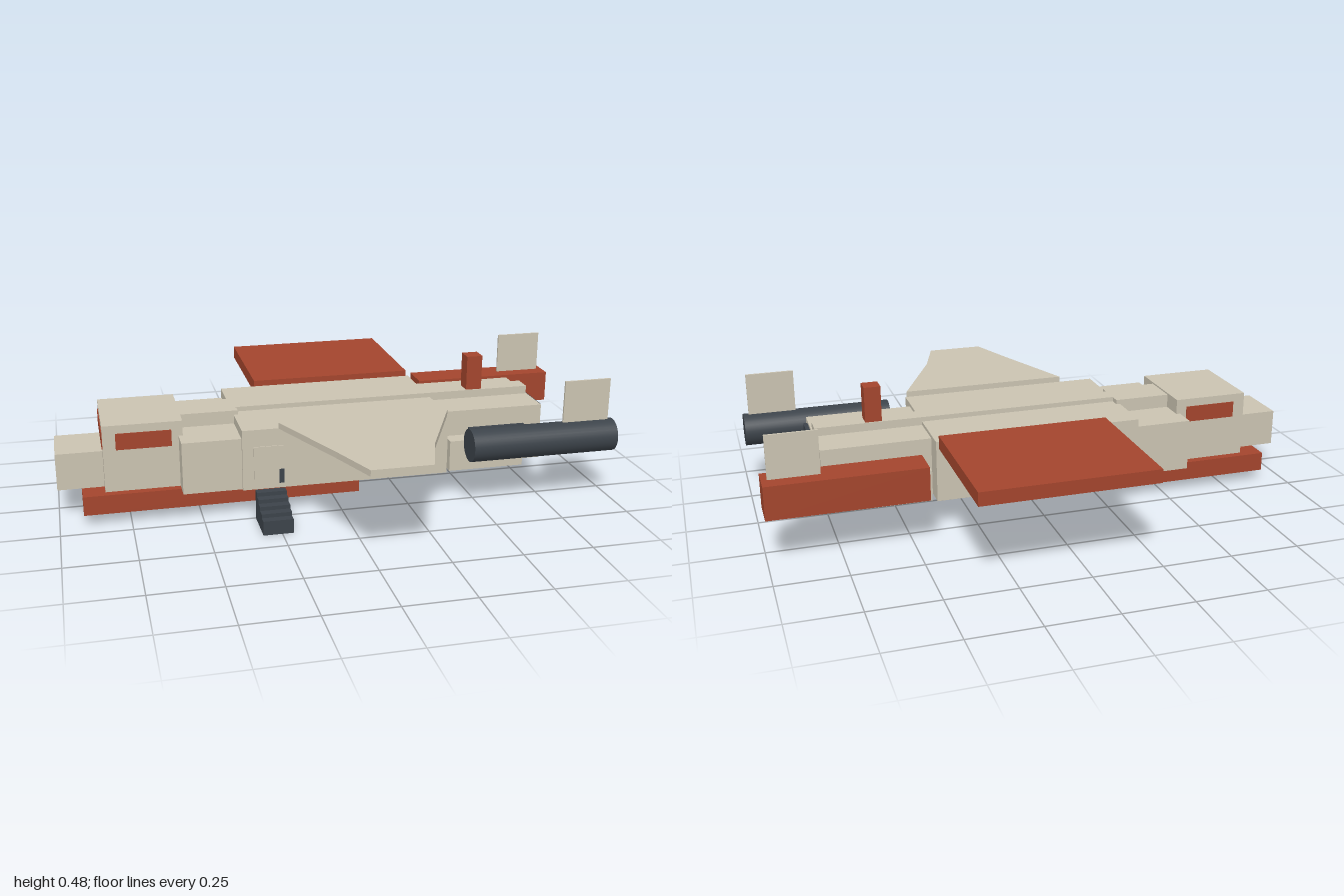
import * as THREE from 'three';

export function createModel() {
  const model = new THREE.Group();
  model.name = 'spacecraft';
  const material = (name, color) => {
    const m = new THREE.MeshStandardMaterial({ color });
    m.name = name;
    return m;
  };
  const hull = material('hull beige', 0xcac3b1);
  const red = material('rust red', 0xa3452d);
  const dark = material('dark slate', 0x3c434a);

  const add = (name, geometry, mat) => {
    const mesh = new THREE.Mesh(geometry, mat);
    mesh.name = name;
    model.add(mesh);
    return mesh;
  };
  // Box given by its limits on each axis
  const box = (name, mat, [x0, x1], [y0, y1], [z0, z1]) => {
    const g = new THREE.BoxGeometry(x1 - x0, y1 - y0, z1 - z0);
    g.translate((x0 + x1) / 2, (y0 + y1) / 2, (z0 + z1) / 2);
    return add(name, g, mat);
  };
  const sides = [['left', 1], ['right', -1]];
  const span = (s, a, b) => (s > 0 ? [a, b] : [-b, -a]);

  // Fuselage, nose to tail
  box('nose', hull, [-1, -0.83], [0.11, 0.245], [-0.1, 0.1]);
  box('cockpit', hull, [-0.835, -0.555], [0.11, 0.355], [-0.155, 0.155]);
  box('foreBody', hull, [-0.57, -0.355], [0.11, 0.3], [-0.238, 0.238]);
  box('neck', hull, [-0.556, -0.345], [0.295, 0.349], [-0.07, 0.07]);
  box('mainBody', hull, [-0.36, 0.395], [0.11, 0.333], [-0.25, 0.25]);
  box('rearBody', hull, [0.39, 0.785], [0.11, 0.32], [-0.177, 0.177]);
  box('spine', hull, [-0.35, 0.782], [0.31, 0.35], [-0.035, 0.035]);
  box('keel', red, [-0.915, 0.08], [0.04, 0.11], [-0.185, 0.185]);
  box('tailPost', red, [0.54, 0.6], [0.345, 0.48], [-0.03, 0.03]);
  box('exhaustPanel', dark, [0.784, 0.8], [0.125, 0.31], [-0.14, 0.14]);

  // Cockpit windows
  box('frontWindow', red, [-0.838, -0.832], [0.265, 0.325], [-0.14, 0.14]);
  for (const [side, s] of sides) {
    box(side + 'Window', red, [-0.79, -0.595], [0.265, 0.325], span(s, 0.152, 0.158));
  }

  // Engine supports and fins
  for (const [side, s] of sides) {
    box(side + 'EngineLug', hull, [0.41, 0.695], [0.11, 0.225], span(s, 0.17, 0.238));
    box(side + 'EngineMount', dark, [0.48, 0.695], [0.21, 0.272], span(s, 0.228, 0.28));
    box(side + 'Fin', hull, [0.805, 0.98], [0.28, 0.455], span(s, 0.326, 0.334));
  }

  // Round left engine and square right engine
  const tube = new THREE.CylinderGeometry(0.06, 0.06, 0.55, 32);
  tube.rotateZ(Math.PI / 2);
  add('leftEngine', tube, dark).position.set(0.725, 0.24, 0.33);
  box('rightEngine', red, [0.45, 1], [0.18, 0.3], [-0.39, -0.27]);

  // Tapered left wing and slab right wing
  const outline = [[-0.23, 0.25], [0.39, 0.25], [0.235, 0.575], [0.175, 0.757], [-0.035, 0.757], [-0.1, 0.58]];
  const shape = new THREE.Shape(outline.map(([x, z]) => new THREE.Vector2(x, z)));
  const wing = new THREE.ExtrudeGeometry(shape, { depth: 0.022, bevelEnabled: false });
  wing.rotateX(Math.PI / 2);
  wing.translate(0, 0.354, 0);
  add('leftWing', wing, hull);
  box('rightWing', red, [-0.23, 0.385], [0.307, 0.355], [-0.758, -0.25]);

  // Boarding door and stairs
  box('door', hull, [-0.32, -0.21], [0.125, 0.27], [0.248, 0.254]);
  box('doorHandle', dark, [-0.23, -0.212], [0.13, 0.182], [0.25, 0.257]);
  const steps = 5;
  for (let i = 0; i < steps; i++) {
    const z = 0.254 + i * 0.03;
    box('stairStep', dark, [-0.317, -0.21], [0, 0.11 - i * 0.0145], [z, z + 0.03]);
  }
  return model;
}
